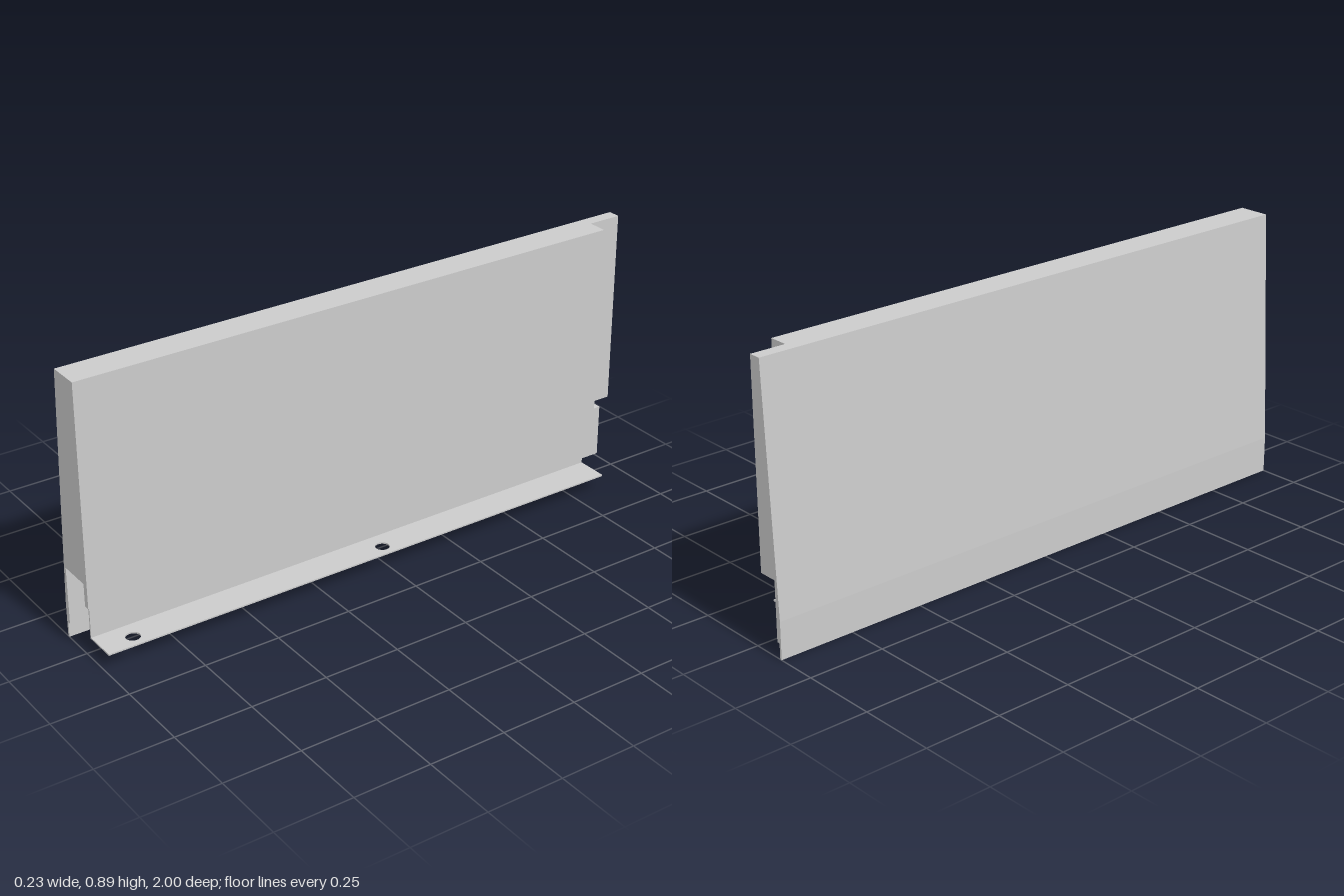
import * as THREE from 'three';

const material = new THREE.MeshStandardMaterial({ color: 0xcccccc, flatShading: true });

// Extrude an outline, optionally with round holes [x, y, radius]
function slab(points, depth, holes = []) {
  const shape = new THREE.Shape(points.map(([x, y]) => new THREE.Vector2(x, y)));
  for (const [x, y, r] of holes) {
    shape.holes.push(new THREE.Path().absarc(x, y, r, 0, Math.PI * 2, true));
  }
  return new THREE.ExtrudeGeometry(shape, { depth, bevelEnabled: false, curveSegments: 24 });
}

export function createModel() {
  const group = new THREE.Group();
  const add = (name, geometry) => {
    const mesh = new THREE.Mesh(geometry, material);
    mesh.name = name;
    group.add(mesh);
  };

  // Tapered outer skin with its stepped bottom lip, shared by both panel sections
  const skin = [
    [-0.098, 0.242], [-0.098, 0.05], [-0.108, 0.05], [-0.108, 0],
    [-0.115, 0], [-0.115, 0.12], [-0.075, 0.89],
  ];
  const notchZ = -0.885;

  // Full-thickness panel, hollow below
  add('panelBody', slab([
    ...skin, [0.029, 0.89], [0.029, 0.167], [0.01, 0.167], [0.01, 0.242],
  ], 1 - notchZ).translate(0, 0, notchZ));

  // Thinner rebated end
  add('panelRebate', slab([
    ...skin, [-0.035, 0.89], [-0.035, 0.242],
  ], notchZ + 1).translate(0, 0, -1));

  // Bracket: top flange tucked under the panel
  add('bracketTopFlange', slab([
    [-0.098, -0.988], [0.01, -0.988], [0.01, 0.925], [-0.098, 0.925],
  ], 0.005).rotateX(-Math.PI / 2).translate(0, 0.24, 0));

  // Bracket: upright web with a cut corner
  add('bracketWeb', slab([
    [-0.988, 0.05], [0.86, 0.05], [0.86, 0.07], [0.925, 0.07], [0.925, 0.245], [-0.988, 0.245],
  ], 0.005).rotateY(Math.PI / 2).translate(0.005, 0, 0));

  // Bracket: foot with two fixing holes
  add('bracketFoot', slab([
    [0.005, -0.988], [0.115, -0.988], [0.115, 0.86], [0.005, 0.86],
  ], 0.005, [[0.072, 0, 0.023], [0.072, -0.885, 0.023]])
    .rotateX(-Math.PI / 2).translate(0, 0.05, 0));

  return group;
}
